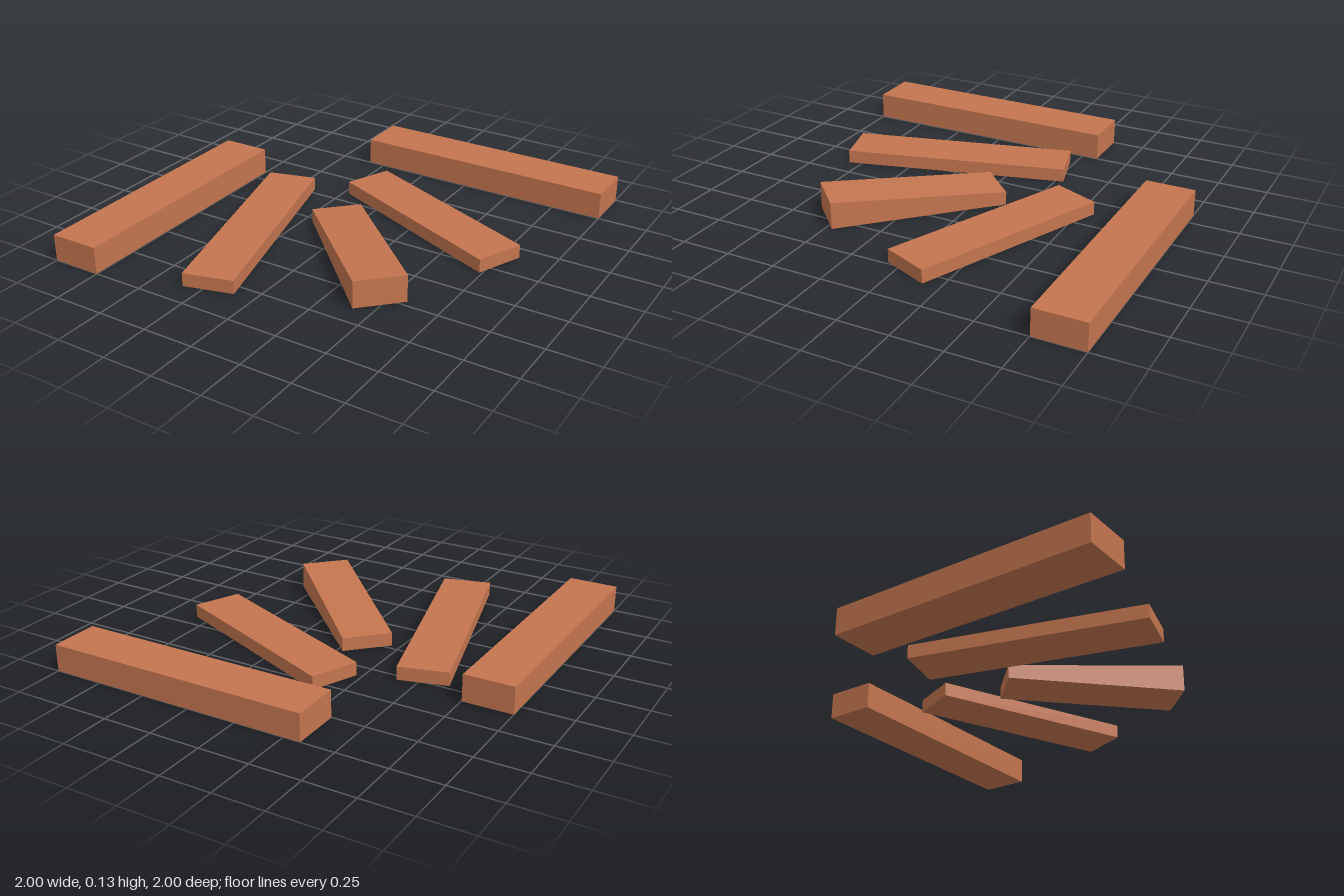
import * as THREE from 'three';

const WIDTH = 0.248;
const FULL = 0.134; // full plank thickness
const HALF = 0.067; // thin plank thickness

// Plank lying on the ground along its local z, thickness running from inner to outer end
function makePlank({ name, x, z, length, angle, inner, outer }, material) {
  const geometry = new THREE.BoxGeometry(WIDTH, 1, length).translate(0, 0.5, 0);
  const pos = geometry.attributes.position;
  for (let i = 0; i < pos.count; i++) {
    if (pos.getY(i) > 0.5) pos.setY(i, pos.getZ(i) > 0 ? outer : inner);
    else pos.setY(i, 0);
  }
  geometry.computeVertexNormals();
  const mesh = new THREE.Mesh(geometry, material);
  mesh.name = name;
  mesh.position.set(x, 0, z);
  mesh.rotation.y = THREE.MathUtils.degToRad(angle);
  return mesh;
}

export function createModel() {
  const group = new THREE.Group();
  group.name = 'fannedPlanks';
  const material = new THREE.MeshStandardMaterial({ color: 0xc4754f, flatShading: true });

  const planks = [
    // Thick outer planks at right angles
    { name: 'rightOuterPlank', x: -0.876, z: 0.333, length: 1.334, angle: 0, inner: FULL, outer: FULL },
    { name: 'backOuterPlank', x: 0.333, z: -0.876, length: 1.334, angle: 90, inner: FULL, outer: FULL },
    // Thin planks fanned between them
    { name: 'rightThinPlank', x: -0.373, z: 0.295, length: 1.144, angle: 15, inner: HALF, outer: HALF },
    { name: 'backThinPlank', x: 0.306, z: -0.252, length: 1.04, angle: 67, inner: HALF, outer: HALF },
    // Short middle wedge, rising towards its outer end
    { name: 'middleWedge', x: 0.189, z: 0.249, length: 0.867, angle: 45, inner: HALF, outer: FULL },
  ];
  for (const plank of planks) group.add(makePlank(plank, material));
  return group;
}
